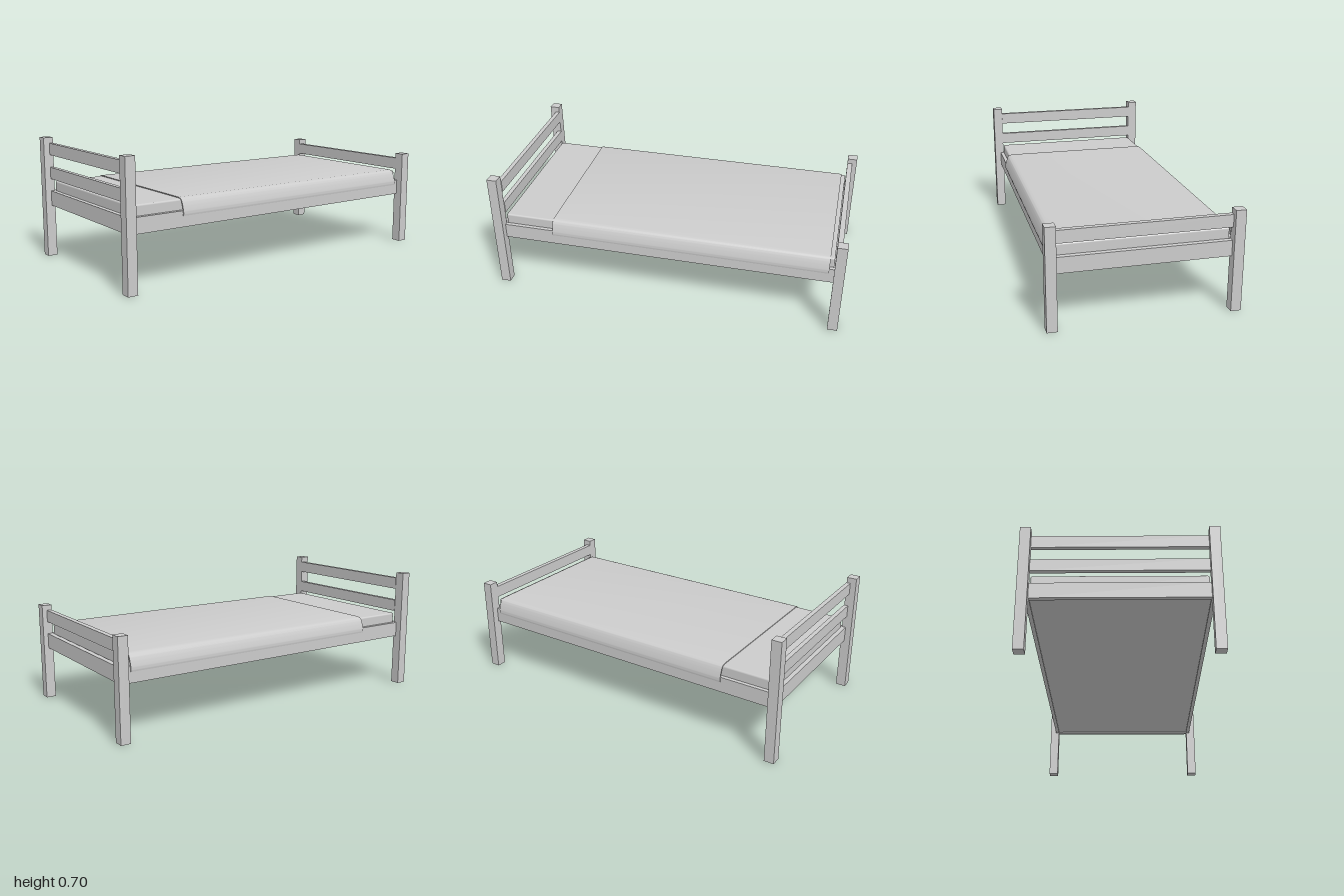
import * as THREE from 'three';
import { toCreasedNormals } from 'three/addons/utils/BufferGeometryUtils.js';
import { RoundedBoxGeometry } from 'three/addons/geometries/RoundedBoxGeometry.js';

export function createModel() {
  const model = new THREE.Group();
  const material = new THREE.MeshStandardMaterial({ color: 0xcccccc });

  const add = (name, geometry) => {
    const mesh = new THREE.Mesh(geometry, material);
    mesh.name = name;
    model.add(mesh);
    return mesh;
  };

  // Box given by its lower and upper limits on each axis
  const box = (name, x0, x1, y0, y1, z0, z1) =>
    add(name, new THREE.BoxGeometry(x1 - x0, y1 - y0, z1 - z0))
      .position.set((x0 + x1) / 2, (y0 + y1) / 2, (z0 + z1) / 2);

  // Corner posts and side rails, mirrored left and right
  for (const [side, s] of [['left', 1], ['right', -1]]) {
    const mirrored = (name, a, b, ...rest) =>
      box(name, Math.min(s * a, s * b), Math.max(s * a, s * b), ...rest);
    mirrored(side + 'HeadPost', 0.456, 0.512, 0, 0.698, 0.944, 1);
    mirrored(side + 'FootPost', 0.456, 0.512, 0, 0.555, -1, -0.944);
    mirrored(side + 'SideRail', 0.453, 0.475, 0.3, 0.386, -0.944, 0.944);
  }

  // Headboard, footboard: a low rail with slats above
  const ends = [
    ['head', 0.941, 0.966, [[0.3, 0.386], [0.457, 0.525], [0.597, 0.665]]],
    ['foot', -0.973, -0.944, [[0.3, 0.386], [0.457, 0.525]]],
  ];
  for (const [name, z0, z1, boards] of ends) {
    boards.forEach(([y0, y1], i) =>
      box(name + (i ? 'Slat' + i : 'Rail'), -0.456, 0.456, y0, y1, z0, z1));
  }

  // Base panel set slightly above the lower rail edges
  box('basePanel', -0.454, 0.454, 0.307, 0.33, -0.944, 0.942);

  // Mattress
  add('mattress', new RoundedBoxGeometry(0.906, 0.116, 1.88, 3, 0.01))
    .position.set(0, 0.386, 0);

  // Blanket: a thin draped cross-section extruded along the bed
  const drape = [[0.435, 0.451], [0.458, 0.443], [0.47, 0.42], [0.478, 0.395], [0.482, 0.375], [0.48, 0.359]];
  const curve = new THREE.SplineCurve(drape.map(([x, y]) => new THREE.Vector2(x, y))).getPoints(20);
  const inner = curve.map((p, i) => {
    const a = curve[Math.max(i - 1, 0)], b = curve[Math.min(i + 1, 20)];
    const t = b.clone().sub(a).normalize();
    return new THREE.Vector2(p.x + t.y * 0.005, p.y - t.x * 0.005);
  });
  const flip = (points) => points.map((p) => new THREE.Vector2(-p.x, p.y));
  const section = new THREE.Shape([
    ...flip(curve).reverse(), ...curve,
    ...inner.slice().reverse(), ...flip(inner),
  ]);
  const cloth = new THREE.ExtrudeGeometry(section, { depth: 1.57, steps: 1, bevelEnabled: false });
  add('blanket', toCreasedNormals(cloth, 0.7)).position.z = -0.917;

  return model;
}
